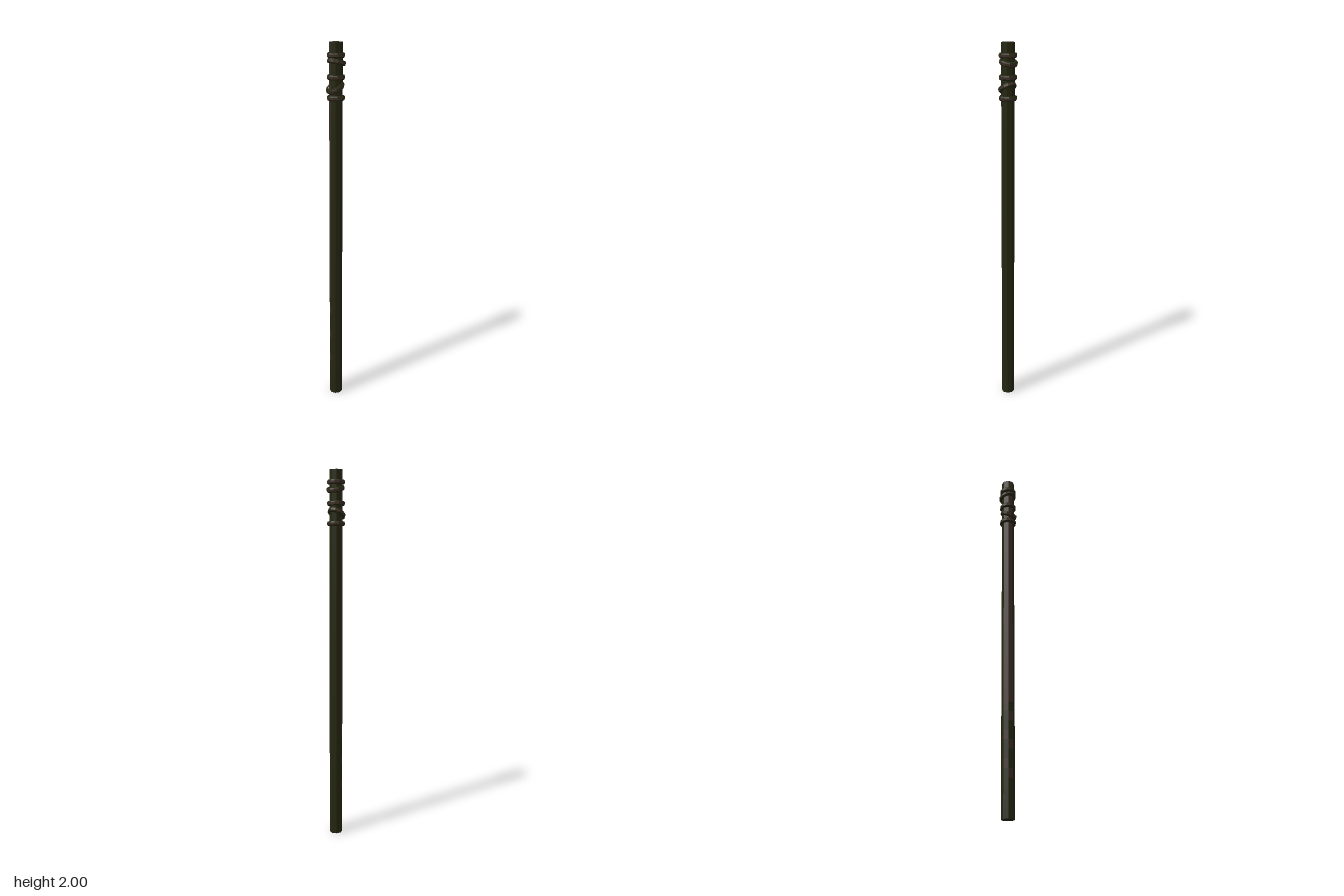
import * as THREE from 'three';

const flat = (name, color) => {
  const m = new THREE.MeshStandardMaterial({ color, flatShading: true });
  m.name = name;
  return m;
};

export function createModel() {
  const group = new THREE.Group();
  const green = flat('mossy dark green', 0x24260f);
  const brown = flat('bark brown', 0x3c2c25);
  const materials = [green, brown];

  // Assign a material index to each quad of a side surface
  const paintCells = (geometry, columns, rows, rule) => {
    for (let c = 0; c < columns; c++) {
      for (let r = 0; r < rows; r++) geometry.addGroup((c * rows + r) * 6, 6, rule(c, r));
    }
  };

  // Eight-sided post, bare bark on the back, breaking into moss low down
  const rows = 40;
  const postGeometry = new THREE.CylinderGeometry(0.035, 0.035, 2, 8, rows);
  postGeometry.clearGroups();
  paintCells(postGeometry, 8, rows, (c, r) => {
    if (c !== 4 && c !== 5) return 0;
    if (r < 28) return 1;
    return r < 37 && (r * 2 + c) % 3 === 0 ? 1 : 0;
  });
  postGeometry.addGroup(8 * rows * 6, 8 * 6, 0);
  const post = new THREE.Mesh(postGeometry, materials);
  post.name = 'post';
  post.position.y = 1;
  group.add(post);

  // Bare wood patch on the top end
  const patch = new THREE.Mesh(new THREE.CylinderGeometry(0.022, 0.022, 0.002, 4), brown);
  patch.name = 'topPatch';
  patch.position.set(-0.008, 2, -0.004);
  group.add(patch);

  // Rope bindings: bevelled bands with a brown outer face
  const profile = [
    [0.03, -0.013], [0.043, -0.012], [0.047, -0.006],
    [0.047, 0.006], [0.043, 0.012], [0.03, 0.013],
  ].map(([x, y]) => new THREE.Vector2(x, y));
  const ropeGeometry = new THREE.LatheGeometry(profile, 12);
  paintCells(ropeGeometry, 12, 5, (c, r) => (r === 2 ? 1 : 0));

  // height, sideways shift, tilt, stretch along the tilt
  const ropes = [
    [1.935, 0, 0, 1],
    [1.9, 0.004, -0.25, 1.07],
    [1.825, 0, 0, 1],
    [1.773, -0.005, 0.52, 1.1],
    [1.72, 0, 0, 1],
  ];
  ropes.forEach(([y, x, tilt, stretch], i) => {
    const rope = new THREE.Mesh(ropeGeometry, materials);
    rope.name = `ropeBinding${i + 1}`;
    rope.position.set(x, y, 0);
    rope.rotation.z = tilt;
    rope.scale.x = stretch;
    group.add(rope);
  });

  return group;
}
